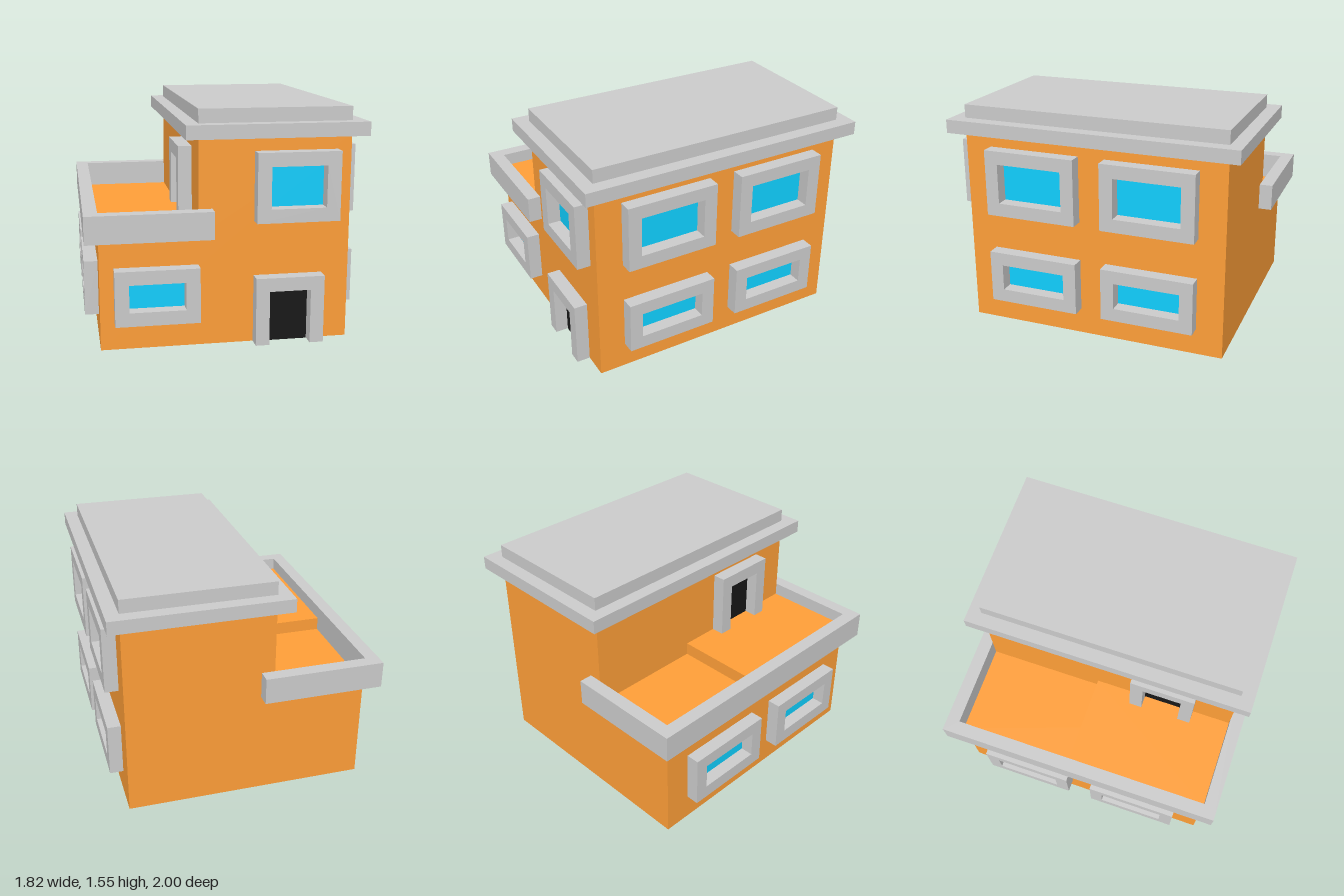
import * as THREE from 'three';

const U = 1 / 11; // one modelling unit; everything below is in whole units

const material = (color) => new THREE.MeshStandardMaterial({ color, flatShading: true });

export function createModel() {
  const house = new THREE.Group();
  house.name = 'house';
  const trim = material(0xcccccc);
  const wall = material(0xff9f38);
  const glass = material(0x10d0ff);
  const dark = material(0x171717);

  function add(parent, name, geometry, mat) {
    const mesh = new THREE.Mesh(geometry, mat);
    mesh.name = name;
    parent.add(mesh);
    return mesh;
  }

  // Box from its lower and upper corners
  function box(parent, name, a, b, mat) {
    const mesh = add(parent, name, new THREE.BoxGeometry(b[0] - a[0], b[1] - a[1], b[2] - a[2]), mat);
    mesh.position.set((a[0] + b[0]) / 2, (a[1] + b[1]) / 2, (a[2] + b[2]) / 2);
    return mesh;
  }

  const outline = (points) => new THREE.Shape(points.map(([x, y]) => new THREE.Vector2(x, y)));
  const extrude = (shape, depth) => new THREE.ExtrudeGeometry(shape, { depth, bevelEnabled: false });

  // Framed window, one unit deep, base centre at the origin, facing +z
  function makeWindow(w, h) {
    const group = new THREE.Group();
    group.name = 'window';
    const r = w / 2;
    const shape = outline([[-r, 0], [r, 0], [r, h], [-r, h]]);
    shape.holes.push(outline([[1 - r, 1], [1 - r, h - 1], [r - 1, h - 1], [r - 1, 1]]));
    add(group, 'windowFrame', extrude(shape, 1), trim);
    box(group, 'windowPane', [1 - r, 1, -0.5], [r - 1, h - 1, 0.03], glass);
    return group;
  }

  // Doorway with a three-sided frame, facing +z
  function makeDoor() {
    const group = new THREE.Group();
    group.name = 'door';
    const shape = outline([
      [-2.5, 0], [-1.5, 0], [-1.5, 4], [1.5, 4], [1.5, 0], [2.5, 0], [2.5, 5], [-2.5, 5],
    ]);
    add(group, 'doorFrame', extrude(shape, 1), trim);
    box(group, 'doorPanel', [-1.5, -0.02, -1], [1.5, 4, 0.03], dark);
    return group;
  }

  function place(part, x, y, z, turn = 0) {
    part.position.set(x, y, z);
    part.rotation.y = turn;
    house.add(part);
  }

  // Stepped body: tall block on the left, low block with a terrace on the right
  const body = outline([[-9, 0], [9, 0], [9, 15], [-2, 15], [-2, 8], [-9, 8]]);
  add(house, 'walls', extrude(body, 20), wall).position.z = -10;
  box(house, 'terraceStep', [-9, 8, -1], [-2, 9, 10], wall);

  // Parapet running round three sides of the terrace
  const plan = outline([
    [-10, -11], [-1, -11], [-1, -10], [-9, -10], [-9, 10], [-1, 10], [-1, 11], [-10, 11],
  ]);
  const parapet = add(house, 'parapet', extrude(plan, 2), trim);
  parapet.rotation.x = -Math.PI / 2;
  parapet.position.y = 8;

  // Two-tier roof
  box(house, 'roofSlab', [-3, 15, -11], [10, 16, 11], trim);
  box(house, 'roofCap', [-2, 16, -10], [9, 17, 10], trim);

  // Front openings
  place(makeWindow(6, 4), -5, 2, 10);
  place(makeWindow(6, 5), 5, 9, 10);
  place(makeDoor(), 4.5, 0, 10);

  // Side windows
  for (const z of [-4.5, 4.5]) {
    place(makeWindow(7, 4), 9, 2, z, Math.PI / 2);
    place(makeWindow(7, 5), 9, 9, z, Math.PI / 2);
    place(makeWindow(7, 4), -9, 2, z, -Math.PI / 2);
  }

  // Door onto the terrace
  place(makeDoor(), -2, 9, 4.5, -Math.PI / 2);

  house.scale.setScalar(U);
  const model = new THREE.Group();
  model.name = 'model';
  model.add(house);
  return model;
}
